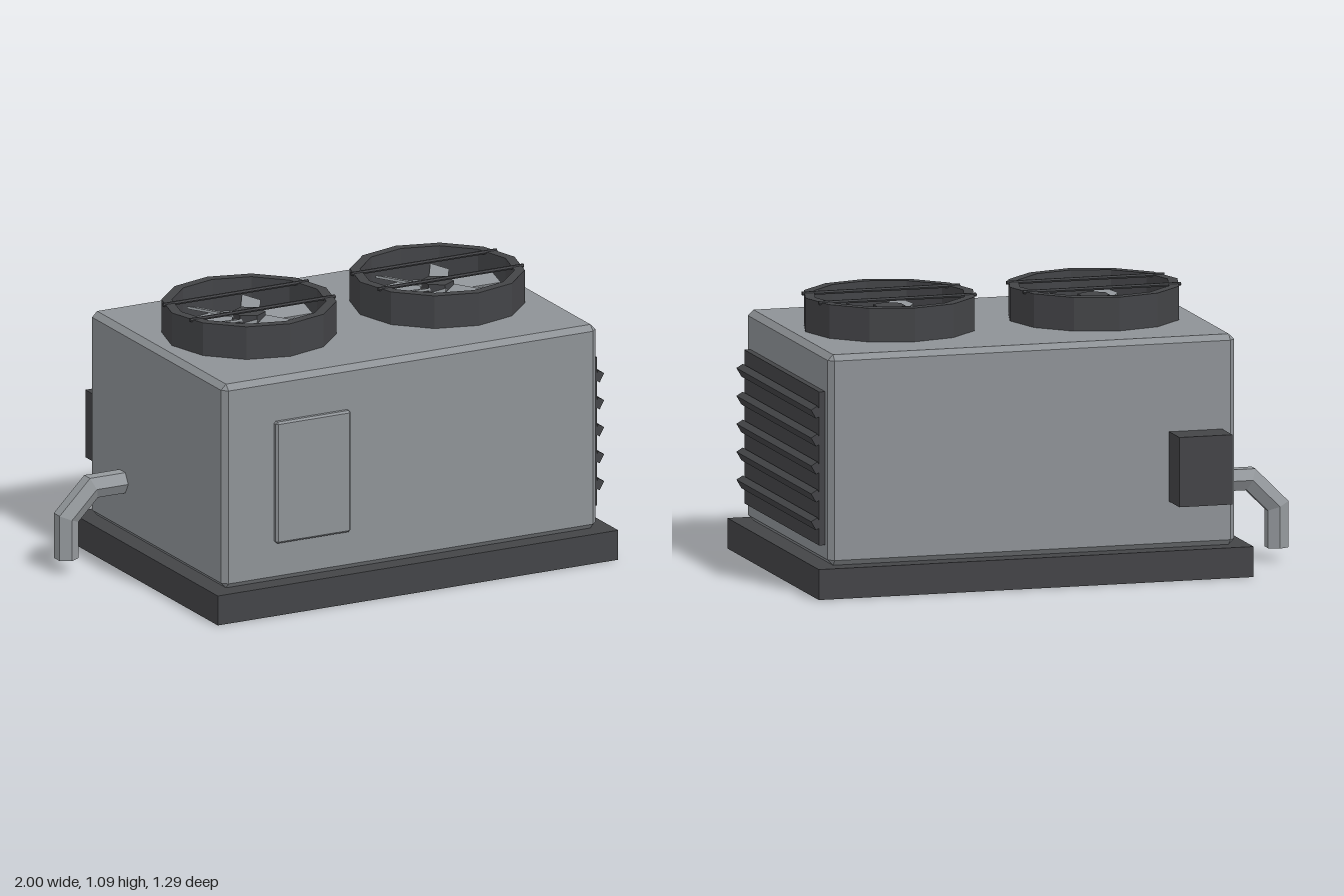
import * as THREE from 'three';
import { ConvexGeometry } from 'three/addons/geometries/ConvexGeometry.js';

const mat = (color) => new THREE.MeshStandardMaterial({ color, flatShading: true });

// Box with every edge cut by a chamfer c
function chamferBox(w, h, d, c) {
  const pts = [];
  for (const x of [-1, 1]) for (const y of [-1, 1]) for (const z of [-1, 1]) {
    for (let k = 0; k < 3; k++) {
      pts.push(new THREE.Vector3(
        x * (w / 2 - (k === 0 ? 0 : c)),
        y * (h / 2 - (k === 1 ? 0 : c)),
        z * (d / 2 - (k === 2 ? 0 : c))));
    }
  }
  return new ConvexGeometry(pts);
}

// Hexagonal pipe with mitred bends along a path in the xy plane
function mitredPipe(path, r, sides = 6) {
  const pos = [], idx = [], n = path.length;
  const dirs = path.slice(1).map((p, i) => p.clone().sub(path[i]).normalize());
  path.forEach((p, i) => {
    const a = dirs[Math.max(i - 1, 0)], b = dirs[Math.min(i, n - 2)];
    const t = a.clone().add(b).normalize();
    const stretch = 1 / t.dot(a);
    for (let s = 0; s < sides; s++) {
      const ang = s / sides * Math.PI * 2;
      const u = Math.sin(ang) * r * stretch;
      pos.push(p.x - t.y * u, p.y + t.x * u, Math.cos(ang) * r);
    }
  });
  for (let i = 0; i < n - 1; i++) for (let s = 0; s < sides; s++) {
    const a = i * sides + s, b = i * sides + (s + 1) % sides;
    idx.push(a, a + sides, b, b, a + sides, b + sides);
  }
  // End caps
  const e = (n - 1) * sides;
  for (let s = 1; s < sides - 1; s++) idx.push(0, s, s + 1, e, e + s + 1, e + s);
  const g = new THREE.BufferGeometry();
  g.setAttribute('position', new THREE.Float32BufferAttribute(pos, 3));
  g.setIndex(idx);
  g.computeVertexNormals();
  return g;
}

export function createModel() {
  const model = new THREE.Group();
  model.name = 'rooftopCoolingUnit';
  const grey = mat(0x8e9296), dark = mat(0x434447);
  const pipeMat = mat(0x95999d);
  pipeMat.side = THREE.DoubleSide;

  const add = (parent, name, geometry, material, x, y, z) => {
    const m = new THREE.Mesh(geometry, material);
    m.name = name;
    m.position.set(x, y, z);
    parent.add(m);
    return m;
  };
  const box = (w, h, d) => new THREE.BoxGeometry(w, h, d);

  // Plinth, cabinet and front access panel
  add(model, 'base', box(1.765, 0.12, 1.21), dark, 0.117, 0.06, 0.04);
  add(model, 'cabinet', chamferBox(1.65, 0.83, 1.1, 0.022), grey, 0.115, 0.535, 0.04);
  add(model, 'accessPanel', chamferBox(0.33, 0.495, 0.03, 0.008), grey, -0.325, 0.5275, 0.6);

  // Louvred vent on the left side
  const vent = new THREE.Group();
  vent.name = 'sideVent';
  model.add(vent);
  add(vent, 'ventPlate', box(0.035, 0.605, 0.99), dark, 0.9475, 0.4975, 0.04);
  for (let i = 0; i < 5; i++) {
    add(vent, 'slat', box(0.03, 0.04, 0.99), dark, 0.974, 0.28 + i * 0.11, 0.04).rotation.z = -Math.PI / 6;
  }

  // Electrical box on the back
  add(model, 'junctionBox', box(0.215, 0.275, 0.15), dark, -0.5475, 0.4425, -0.57);

  // Drain pipe on the right side
  const path = [[-0.69, 0.33], [-0.848, 0.33], [-0.958, 0.22], [-0.958, 0.055]]
    .map(([x, y]) => new THREE.Vector2(x, y));
  add(model, 'drainPipe', mitredPipe(path, 0.048), pipeMat, 0, 0, -0.24);

  // Two roof fans: shroud, hub, blades and guard bars
  const ring = [[0.3, 0], [0.34, 0], [0.34, 0.135], [0.3, 0.135], [0.3, 0]]
    .map(([x, y]) => new THREE.Vector2(x, y));
  for (const x of [-0.3, 0.53]) {
    const fan = new THREE.Group();
    fan.name = 'fan';
    fan.position.set(x, 0.948, 0.035);
    model.add(fan);
    add(fan, 'shroud', new THREE.LatheGeometry(ring, 12), dark, 0, 0, 0);
    add(fan, 'hub', new THREE.CylinderGeometry(0.065, 0.065, 0.06, 6), dark, 0, 0.06, 0);
    for (let i = 0; i < 6; i++) {
      const arm = new THREE.Group();
      arm.name = 'bladeArm';
      arm.rotation.y = i * Math.PI / 3;
      fan.add(arm);
      add(arm, 'blade', box(0.22, 0.01, 0.076), grey, 0.15, 0.06, 0).rotation.x = 0.3;
    }
    for (const z of [-0.11, 0.11]) {
      add(fan, 'guardBar', new THREE.CylinderGeometry(0.008, 0.008, 0.64, 6), dark, 0, 0.133, z).rotation.z = Math.PI / 2;
    }
  }
  return model;
}
